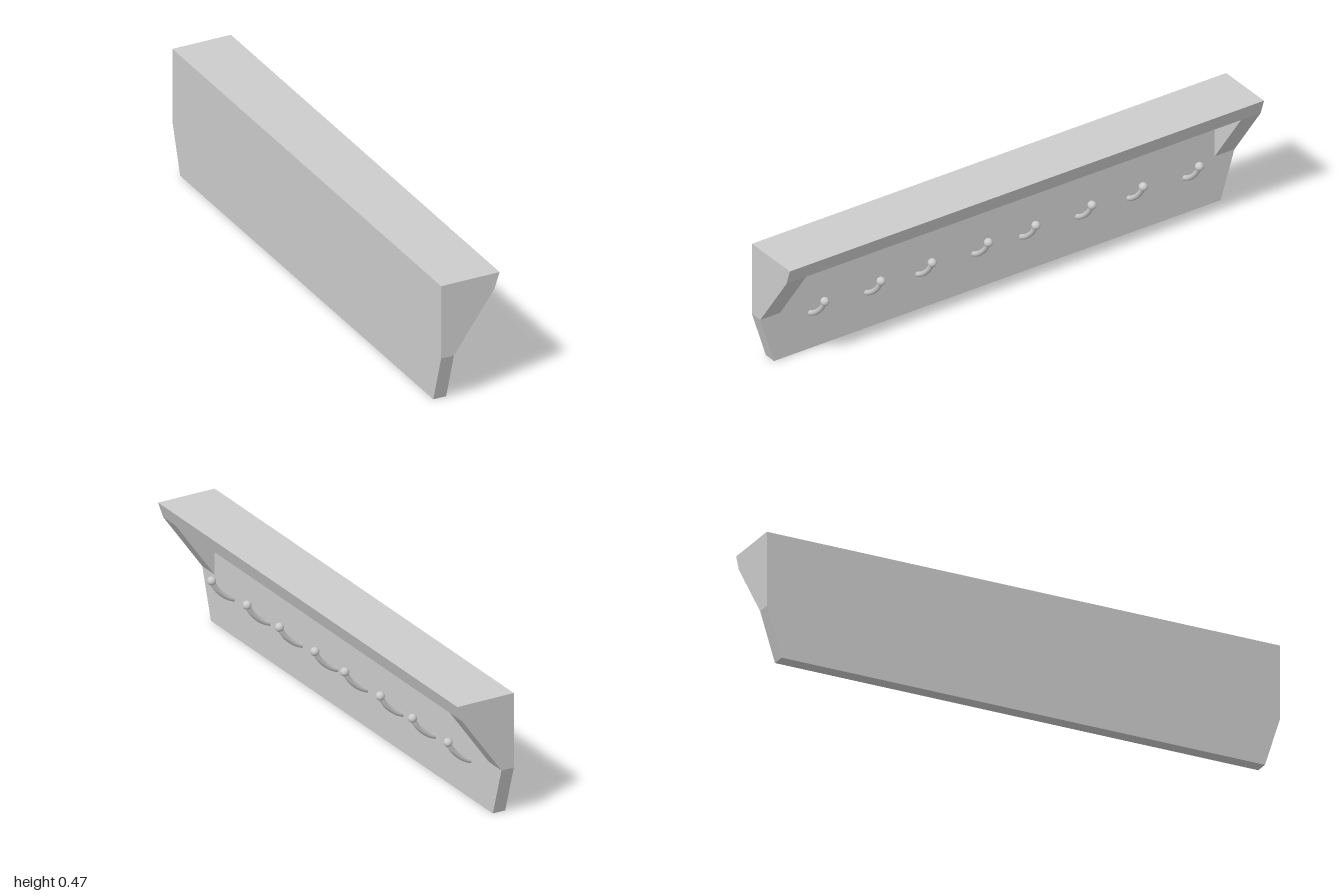
import * as THREE from 'three';

const material = new THREE.MeshStandardMaterial({ color: 0xcccccc });
const HALF = 1, INNER = 0.917;
const BACK = -0.114, FACE = -0.064;

// Extrude an x-y outline along z, starting at z0
function prism(name, points, z0, depth) {
  const shape = new THREE.Shape(points.map(([x, y]) => new THREE.Vector2(x, y)));
  const geometry = new THREE.ExtrudeGeometry(shape, { depth, bevelEnabled: false });
  geometry.translate(0, 0, z0);
  const mesh = new THREE.Mesh(geometry, material);
  mesh.name = name;
  return mesh;
}

// Curved peg with a ball tip
function makeHook(z) {
  const hook = new THREE.Group();
  hook.name = 'hook';
  const path = new THREE.CatmullRomCurve3(
    [[-0.07, 0.14], [-0.045, 0.151], [-0.02, 0.169], [0.005, 0.195], [0.025, 0.229]]
      .map(([x, y]) => new THREE.Vector3(x, y, 0)));
  const stem = new THREE.Mesh(new THREE.TubeGeometry(path, 20, 0.0095, 16), material);
  stem.name = 'hookStem';
  const ball = new THREE.Mesh(new THREE.SphereGeometry(0.016, 24, 16), material);
  ball.name = 'hookBall';
  ball.position.set(0.025, 0.231, 0);
  hook.add(stem, ball);
  hook.position.z = z;
  return hook;
}

export function createModel() {
  const rack = new THREE.Group();
  rack.name = 'coatRack';

  // Back board: outline in z-y with tapered lower corners, turned to face +x
  const board = prism('backBoard', [
    [-0.942, 0], [0.942, 0], [HALF, 0.185], [HALF, 0.467], [-HALF, 0.467], [-HALF, 0.185],
  ], 0, FACE - BACK);
  board.rotation.y = Math.PI / 2;
  board.position.x = BACK;
  rack.add(board);

  // Top shelf with a slanted front lip
  rack.add(prism('shelf',
    [[FACE, 0.408], [0.094, 0.408], [0.114, 0.467], [FACE, 0.467]], -HALF, 2 * HALF));

  // Triangular brackets closing both ends
  for (const [name, z0] of [['leftBracket', INNER], ['rightBracket', -HALF]]) {
    rack.add(prism(name, [[FACE, 0.185], [0.094, 0.408], [FACE, 0.408]], z0, HALF - INNER));
  }

  // Row of hooks, mirrored about the middle
  for (const z of [0.1, 0.337, 0.553, 0.79]) rack.add(makeHook(z), makeHook(-z));

  return rack;
}
